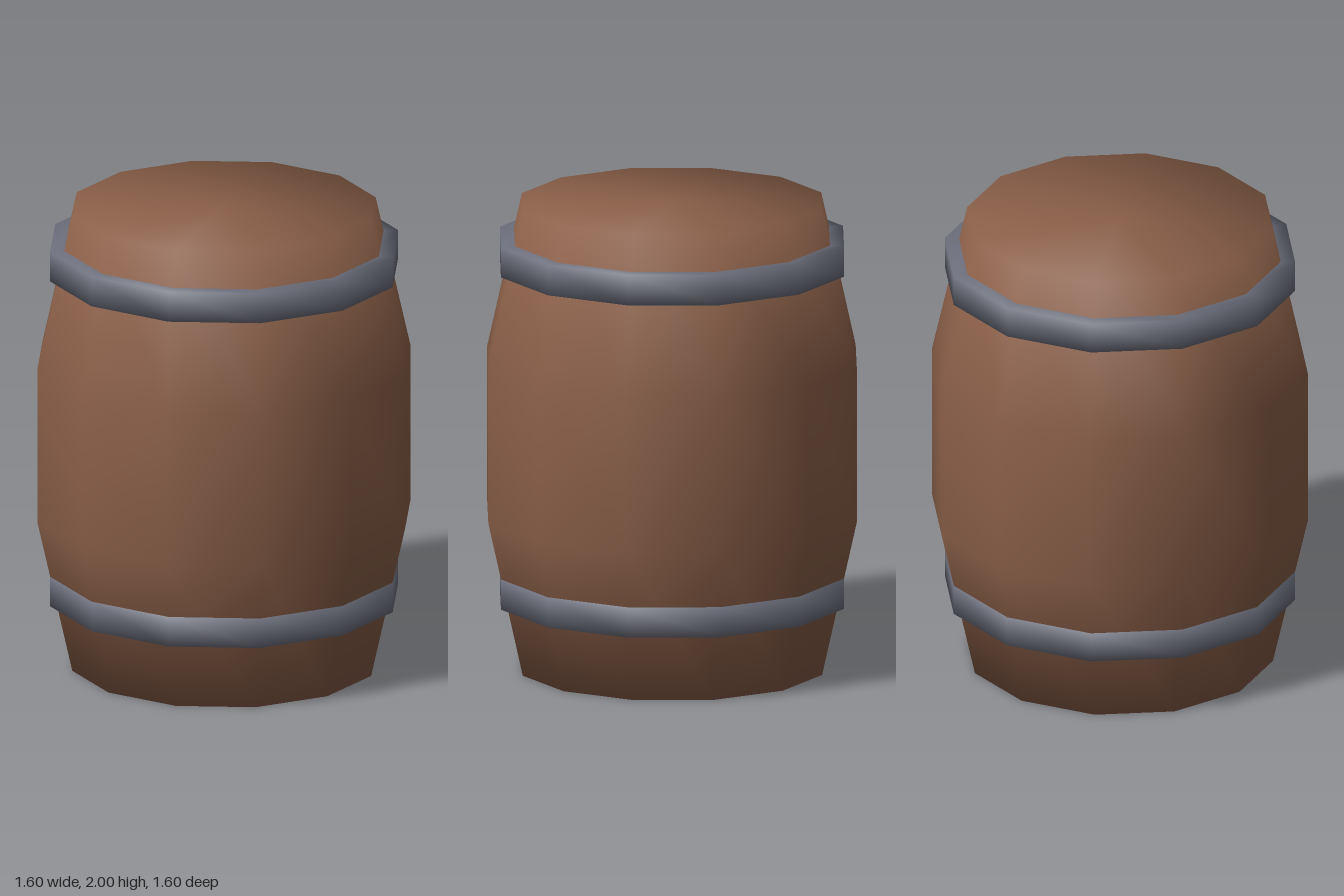
import * as THREE from 'three';

const SIDES = 12;

// Turn a list of [radius, height] pairs into a smooth twelve-sided solid
function turned(name, profile, material) {
  const points = profile.map(([r, y]) => new THREE.Vector2(r, y));
  const mesh = new THREE.Mesh(new THREE.LatheGeometry(points, SIDES), material);
  mesh.name = name;
  return mesh;
}

export function createModel() {
  const wood = new THREE.MeshStandardMaterial({ color: 0x8a5f48 });
  wood.name = 'brown wood';
  const iron = new THREE.MeshStandardMaterial({ color: 0x6d707d });
  iron.name = 'grey iron';

  const barrel = new THREE.Group();
  barrel.name = 'barrel';

  // Bulging body, closed by flat ends
  barrel.add(turned('barrelBody', [
    [0, 0], [0.65, 0], [0.8, 0.665], [0.8, 1.335], [0.65, 2], [0, 2],
  ], wood));

  // Straight hoops whose inner edges are sunk into the body
  const hoops = [['lowerHoop', 0.29], ['upperHoop', 1.72]];
  for (const [name, y] of hoops) {
    barrel.add(turned(name, [
      [0.65, y], [0.745, y], [0.745, y + 0.13], [0.65, y + 0.13],
    ], iron));
  }

  return barrel;
}
